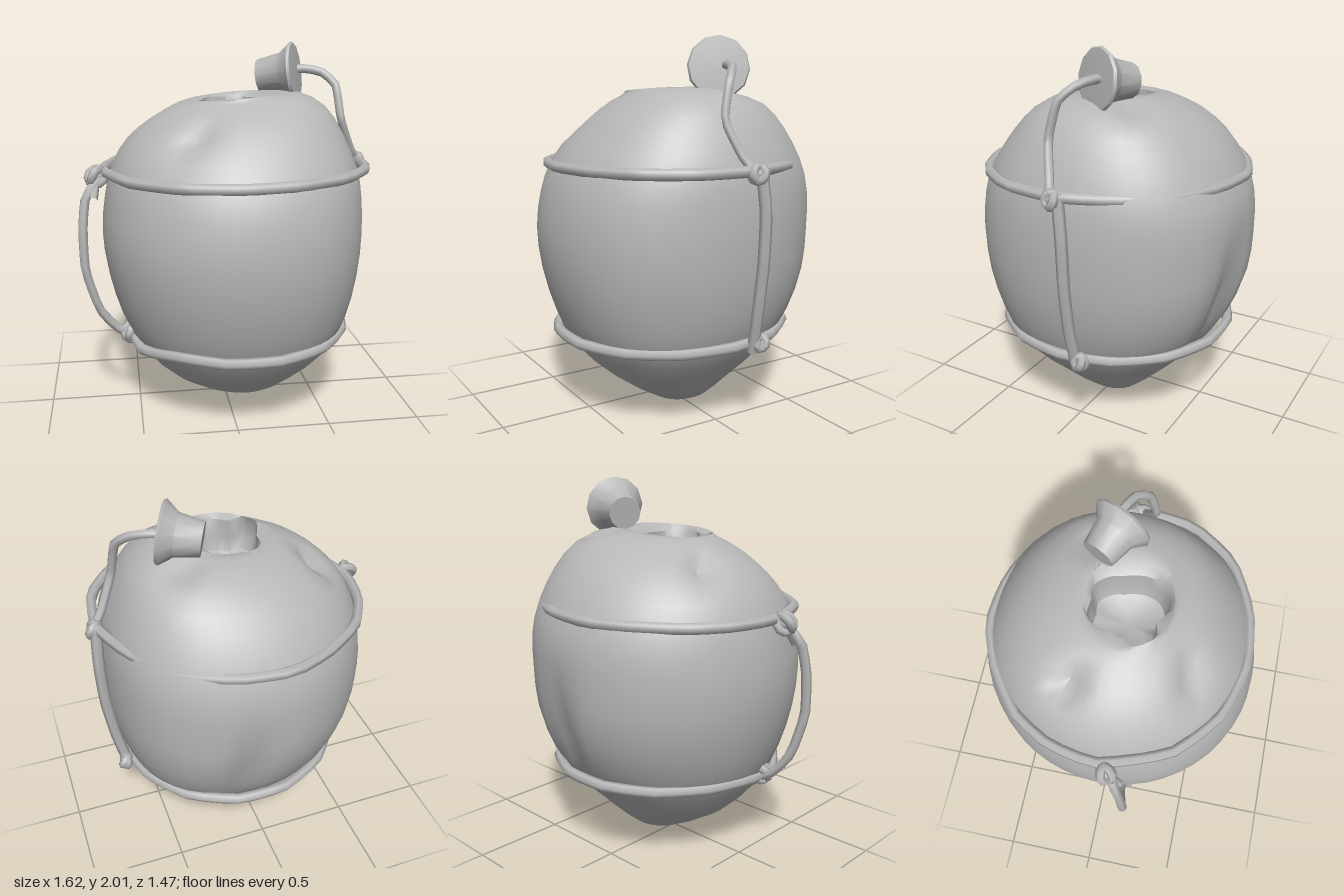
import * as THREE from 'three';
import { toCreasedNormals } from 'three/addons/utils/BufferGeometryUtils.js';

const clay = new THREE.MeshStandardMaterial({ color: 0xb8b8b8 });
clay.name = 'plain grey';

const add = (group, name, geometry) => {
  const mesh = new THREE.Mesh(geometry, clay);
  mesh.name = name;
  group.add(mesh);
  return mesh;
};

// Shell sections from the bottom up: y, left x, right x, back z, front z
const SECTIONS = [
  [0.01, 0.03, 0.16, -0.1, 0.01],
  [0.04, -0.07, 0.27, -0.17, 0.15],
  [0.18, -0.32, 0.42, -0.33, 0.37],
  [0.36, -0.49, 0.59, -0.5, 0.555],
  [0.55, -0.59, 0.68, -0.63, 0.65],
  [0.78, -0.655, 0.73, -0.715, 0.715],
  [1.0, -0.68, 0.745, -0.735, 0.735],
  [1.2, -0.66, 0.74, -0.73, 0.71],
  [1.36, -0.62, 0.715, -0.68, 0.65],
  [1.52, -0.53, 0.64, -0.58, 0.53],
  [1.64, -0.4, 0.55, -0.45, 0.4],
  [1.71, -0.26, 0.42, -0.3, 0.27],
  [1.73, -0.18, 0.27, -0.19, 0.25],
];

// Outline of the broken mouth, as radii around its centre
const MOUTH = [0.17, 0.185, 0.2, 0.2, 0.18, 0.15, 0.21, 0.21, 0.17, 0.155, 0.19, 0.21, 0.19, 0.21, 0.19, 0.165];

// Dents: centre, reach and push
const DENTS = [
  { at: [-0.38, 1.62, -0.18], reach: [0.07, 0.2, 0.07], push: [0.04, -0.07, 0.01] },
  { at: [-0.21, 1.64, 0.41], reach: [0.09, 0.2, 0.07], push: [0.01, -0.06, -0.04] },
  { at: [0.33, 1.73, -0.22], reach: [0.09, 0.2, 0.08], push: [-0.01, -0.05, 0.02] },
  { at: [0.16, 0.72, -0.68], reach: [0.08, 0.28, 0.25], push: [0, 0, 0.07] },
];

function shellGeometry() {
  const segs = 48, rings = [];
  const spline = (k, t) => {
    const i = Math.min(Math.floor(t), SECTIONS.length - 2), f = t - i;
    const p = (n) => SECTIONS[Math.max(0, Math.min(SECTIONS.length - 1, n))][k];
    const a = p(i - 1), b = p(i), c = p(i + 1), d = p(i + 2);
    return b + 0.5 * f * (c - a + f * (2 * a - 5 * b + 4 * c - d + f * (3 * (b - c) + d - a)));
  };
  const ring = (fn) => rings.push(Array.from({ length: segs }, (_, j) => fn((j / segs) * Math.PI * 2, j)));

  // Outer skin, fuller on the +x diagonals and tilted up towards +x at the top
  ring(() => [0.1, 0.003, -0.05]);
  for (let t = 0; t <= SECTIONS.length - 1; t += 0.5) {
    const [y, l, r, b, f] = [0, 1, 2, 3, 4].map((k) => spline(k, t));
    ring((a) => {
      const bulge = 1 + (Math.cos(a) > 0 ? 0.045 * Math.sin(2 * a) ** 2 : 0);
      const x = (l + r) / 2 + ((r - l) / 2) * Math.cos(a) * bulge;
      const z = (b + f) / 2 + ((f - b) / 2) * Math.sin(a) * bulge;
      const p = [x, y + Math.max(0, y - 1.4) * 0.25 * x, z];
      const q = p.slice();
      for (const d of DENTS) {
        const s = p.reduce((sum, v, k) => sum + ((v - d.at[k]) / d.reach[k]) ** 2, 0);
        for (let k = 0; k < 3; k++) q[k] += d.push[k] * Math.exp(-s);
      }
      return q;
    });
  }
  // Ragged mouth, inner wall and bowl floor
  for (const [y, s] of [[1.71, 1], [1.6, 1], [1.53, 0.9], [1.5, 0.5], [1.49, 0]]) {
    ring((a, j) => {
      const m = (j / segs) * MOUTH.length, i = Math.floor(m);
      const r = s * (MOUTH[i] + (MOUTH[(i + 1) % MOUTH.length] - MOUTH[i]) * (m - i));
      return [0.03 + r * Math.cos(a), y, 0.04 + r * Math.sin(a)];
    });
  }
  // Quads between rings, single triangles at the two poles
  const index = [];
  for (let i = 0; i < rings.length - 1; i++) {
    for (let j = 0; j < segs; j++) {
      const k = (j + 1) % segs;
      const a = i * segs + j, b = a + segs, c = i * segs + k, d = c + segs;
      if (i > 0) index.push(a, b, c);
      if (i < rings.length - 2) index.push(b, d, c);
    }
  }
  const g = new THREE.BufferGeometry();
  g.setAttribute('position', new THREE.Float32BufferAttribute(rings.flat(2), 3));
  g.setIndex(index);
  return toCreasedNormals(g, 0.9);
}

const cord = (points, radius, segments, closed = false) => new THREE.TubeGeometry(
  new THREE.CatmullRomCurve3(points.map((p) => new THREE.Vector3(...p)), closed, 'catmullrom', 0.25),
  segments, radius, 6, closed);

// Hoops, as [x, z] corners seen from above
const UPPER_HOOP = [[-0.665, 0.02], [-0.62, -0.24], [-0.5, -0.44], [-0.28, -0.6], [-0.05, -0.69], [0.22, -0.66],
  [0.46, -0.54], [0.65, -0.31], [0.755, -0.04], [0.72, 0.26], [0.55, 0.5], [0.28, 0.635], [0, 0.665],
  [-0.3, 0.58], [-0.54, 0.37]];
const LOWER_HOOP = Array.from({ length: 14 }, (_, i) => {
  const a = (i / 14) * Math.PI * 2;
  return [0.06 + 0.61 * Math.cos(a), 0.01 + 0.64 * Math.sin(a)];
});

// Knot: two crossed loops round a small core
function knot(name, position, size, turn) {
  const group = new THREE.Group();
  group.name = name;
  for (const tilt of [-0.5, 0.6]) {
    const loop = add(group, name + 'Loop', new THREE.TorusGeometry(size, 0.024, 6, 10));
    loop.rotation.set(tilt, turn + tilt, 0);
  }
  add(group, name + 'Core', new THREE.SphereGeometry(size * 0.85, 8, 6));
  group.position.set(...position);
  return group;
}

export function createModel() {
  const model = new THREE.Group();
  model.name = 'cordedShellFlask';
  add(model, 'shell', shellGeometry());

  // Hoops; the lower one sags at the right knot
  add(model, 'upperHoop', cord(UPPER_HOOP.map(([x, z]) => [x, 1.35 + 0.015 * x, z]), 0.029, 45, true));
  add(model, 'lowerHoop', cord(LOWER_HOOP.map(([x, z]) =>
    [x, 0.46 - 0.015 * z - 0.05 * Math.exp(-(((x + 0.5) / 0.1) ** 2) - ((z - 0.25) / 0.2) ** 2), z]), 0.029, 42, true));

  // Side cords
  add(model, 'rightHandle', cord([[-0.69, 1.31, 0.08], [-0.76, 1.22, 0.13], [-0.78, 1.05, 0.16],
    [-0.775, 0.83, 0.17], [-0.71, 0.6, 0.15], [-0.62, 0.48, 0.13], [-0.55, 0.44, 0.12]], 0.026, 14));
  add(model, 'rightCordEnd', cord([[-0.7, 1.32, 0.06], [-0.71, 1.27, 0.1], [-0.72, 1.21, 0.14]], 0.024, 4));
  add(model, 'leftStrap', cord([[0.765, 1.35, -0.07], [0.775, 1.15, -0.09],
    [0.765, 0.9, -0.09], [0.73, 0.65, -0.09], [0.68, 0.42, -0.1]], 0.031, 12));

  // Knots
  model.add(
    knot('upperRightKnot', [-0.7, 1.32, 0.07], 0.045, 0.3),
    knot('lowerRightKnot', [-0.54, 0.45, 0.13], 0.042, 0.5),
    knot('upperLeftKnot', [0.77, 1.35, -0.04], 0.035, 1.2),
    knot('lowerLeftKnot', [0.7, 0.47, -0.13], 0.03, 1.2),
  );

  // Stopper and its tether
  const profile = [[0, 0], [0.088, 0], [0.11, 0.13], [0.163, 0.195], [0.155, 0.21], [0, 0.22]]
    .map(([r, y]) => new THREE.Vector2(r, y));
  const stopper = add(model, 'stopper', toCreasedNormals(new THREE.LatheGeometry(profile, 12), 0.6));
  stopper.position.set(0.215, 1.825, -0.155);
  stopper.quaternion.setFromUnitVectors(new THREE.Vector3(0, 1, 0), new THREE.Vector3(0.88, 0.13, 0.42).normalize());
  add(model, 'stopperTether', cord([[0.4, 1.86, -0.1], [0.47, 1.865, -0.08], [0.55, 1.845, -0.04], [0.61, 1.78, 0.02],
    [0.635, 1.6, 0.06], [0.71, 1.43, 0.01], [0.77, 1.35, -0.03]], 0.024, 14));
  return model;
}
